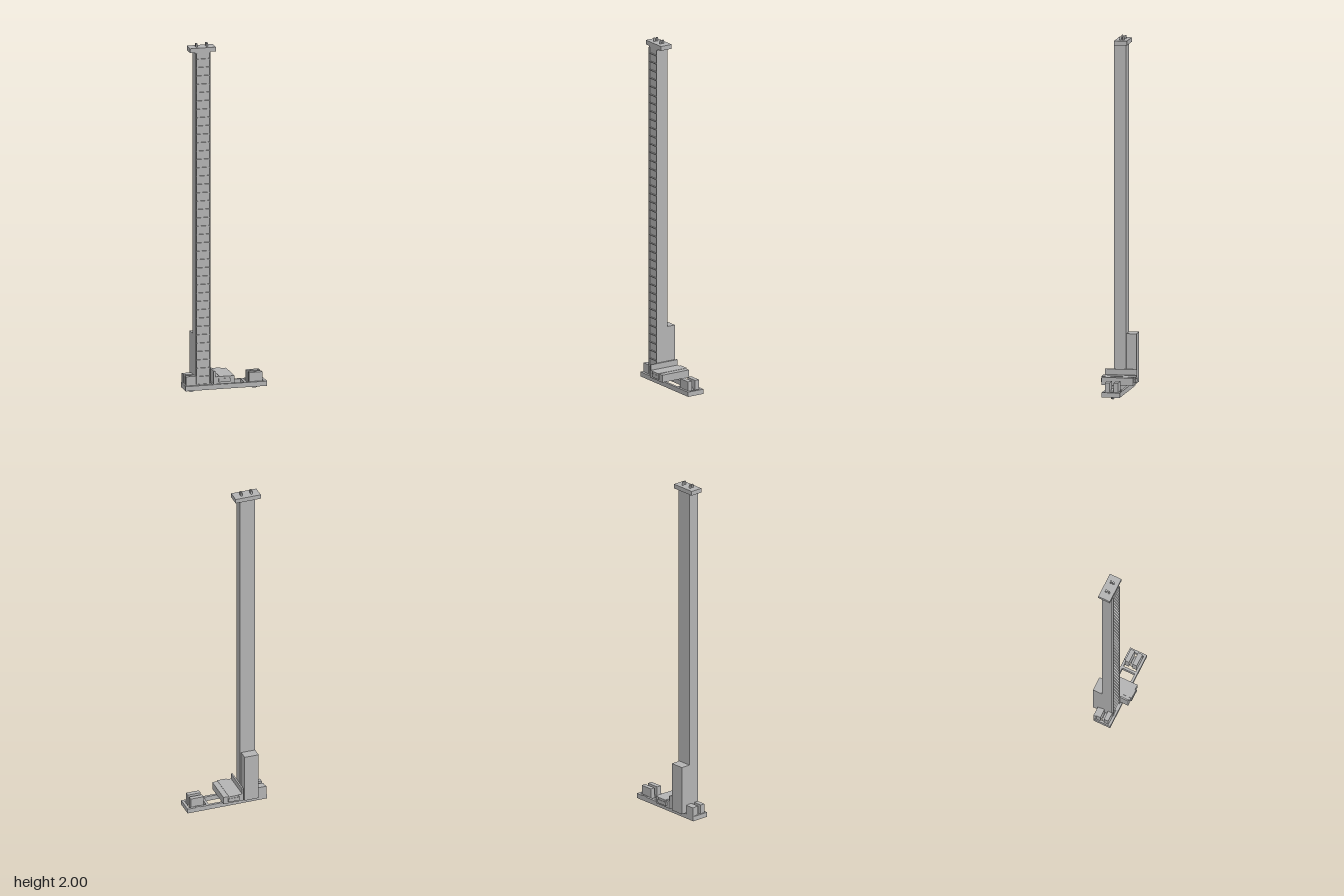
import * as THREE from 'three';

const grey = new THREE.MeshStandardMaterial({ color: 0xb3b3b3 });
grey.name = 'plain grey';

export function createModel() {
  const model = new THREE.Group();
  model.name = 'stackerCrane';

  const group = (name) => {
    const g = new THREE.Group();
    g.name = name;
    model.add(g);
    return g;
  };
  // box given by its limits on each axis
  const box = (parent, name, x0, x1, y0, y1, z0, z1) => {
    const m = new THREE.Mesh(new THREE.BoxGeometry(x1 - x0, y1 - y0, z1 - z0), grey);
    m.name = name;
    m.position.set((x0 + x1) / 2, (y0 + y1) / 2, (z0 + z1) / 2);
    parent.add(m);
    return m;
  };
  const cylinder = (parent, name, r, length, x, y, z, axis = 'y') => {
    const m = new THREE.Mesh(new THREE.CylinderGeometry(r, r, length, 28), grey);
    m.name = name;
    m.position.set(x, y, z);
    if (axis === 'z') m.rotation.x = Math.PI / 2;
    parent.add(m);
    return m;
  };

  // base frame: two long rails and cross bars
  const base = group('baseFrame');
  box(base, 'backRail', -0.235, 0.235, 0.018, 0.045, -0.053, -0.039);
  box(base, 'frontRail', -0.235, 0.235, 0.018, 0.045, 0.037, 0.051);
  for (const [a, b] of [[-0.235, -0.222], [-0.145, -0.131], [-0.09, -0.076], [0.106, 0.12], [0.22, 0.235]])
    box(base, 'crossBar', a, b, 0.018, 0.045, -0.039, 0.037);
  box(base, 'mastFoot', -0.18, -0.08, 0.036, 0.05, -0.04, 0.038);

  // wheel units at both ends
  for (const x of [-0.19, 0.173]) {
    const unit = group('wheelUnit');
    box(unit, 'backBearingBlock', x - 0.038, x + 0.038, 0.03, 0.097, -0.038, -0.012);
    box(unit, 'frontBearingBlock', x - 0.038, x + 0.038, 0.03, 0.097, 0.009, 0.036);
    cylinder(unit, 'wheel', 0.03, 0.012, x, 0.03, -0.001, 'z');
    cylinder(unit, 'axle', 0.008, 0.06, x, 0.03, -0.001, 'z');
    for (const z of [-0.009, 0.007]) cylinder(unit, 'hub', 0.012, 0.005, x, 0.03, z, 'z');
  }
  box(base, 'railLug', 0.158, 0.187, 0.04, 0.049, -0.053, -0.042);
  box(base, 'driveMotor', -0.232, -0.178, 0.045, 0.097, -0.053, -0.037);

  // mast with its head plate and guide pins
  const mast = group('mast');
  box(mast, 'column', -0.175, -0.086, 0.045, 1.956, -0.028, 0.033);
  box(mast, 'headPlate', -0.205, -0.056, 1.956, 1.981, -0.037, 0.035);
  for (const x of [-0.16, -0.1])
    for (const z of [-0.009, 0.007]) cylinder(mast, 'guidePin', 0.006, 0.02, x, 1.99, z);

  // ladder on the front of the mast
  const ladder = group('ladder');
  box(ladder, 'ladderRail', -0.171, -0.167, 0.05, 1.95, 0.033, 0.041);
  box(ladder, 'ladderRail', -0.093, -0.089, 0.05, 1.95, 0.033, 0.041);
  for (let i = 0; i < 39; i++) {
    const y = 0.09 + i * 0.048;
    box(ladder, 'rung', -0.167, -0.093, y, y + 0.005, 0.033, 0.04);
  }

  // control cabinet behind the mast
  box(model, 'controlCabinet', -0.175, -0.092, 0.05, 0.33, -0.084, -0.028);

  // lifting carriage with telescopic fork
  const carriage = group('carriage');
  box(carriage, 'carriageBackPlate', -0.084, -0.075, 0.057, 0.132, -0.09, 0.089);
  box(carriage, 'platform', -0.075, 0.036, 0.057, 0.1, -0.09, 0.089);
  box(carriage, 'fork', -0.056, 0.01, 0.069, 0.09, -0.099, 0.097);
  box(carriage, 'forkTop', -0.051, 0.005, 0.09, 0.102, -0.097, 0.095);

  return model;
}
